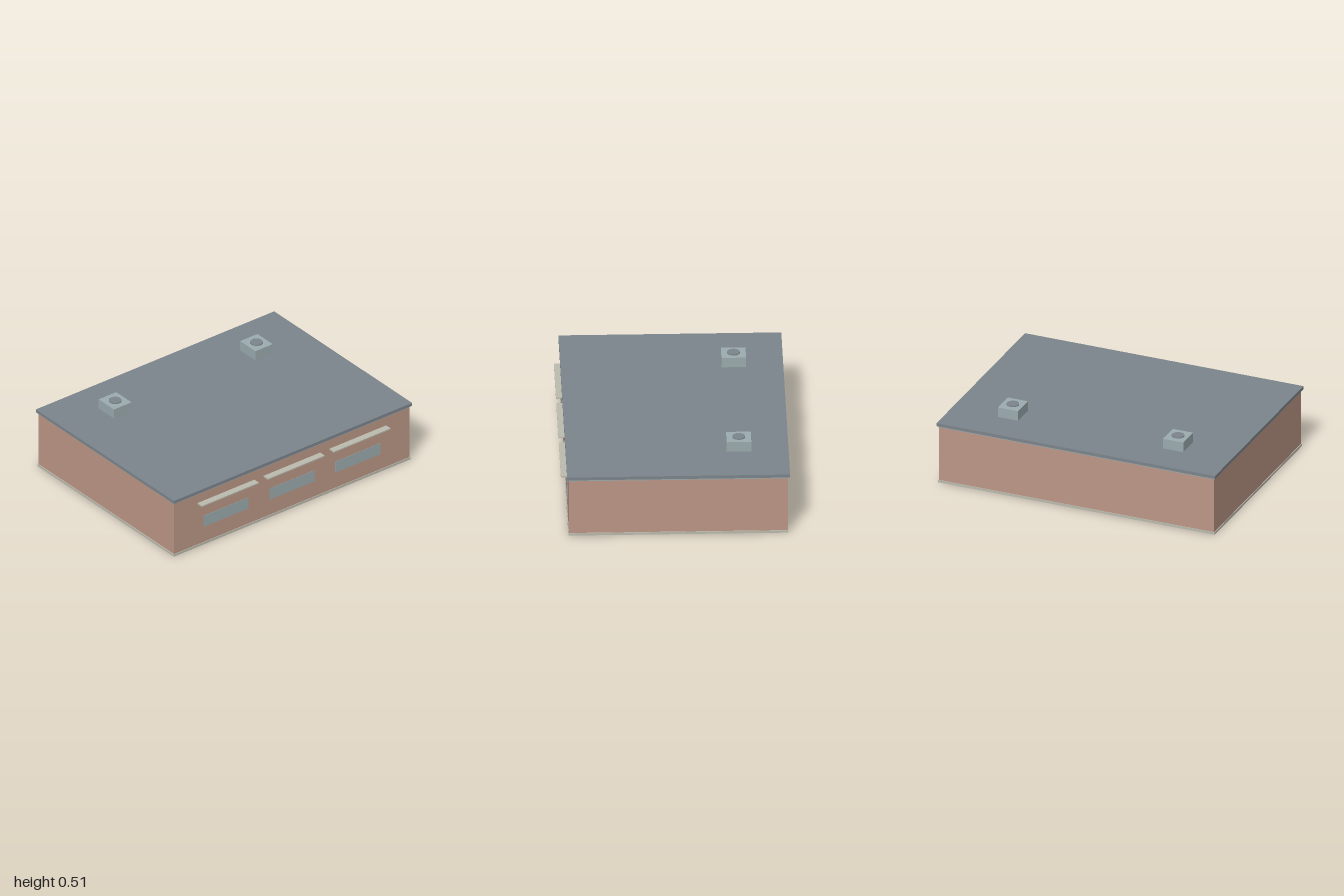
import * as THREE from 'three';

const paint = (name, color) => {
  const m = new THREE.MeshStandardMaterial({ color });
  m.name = name;
  return m;
};

export function createModel() {
  const brick = paint('brick', 0xbb9686);
  const slate = paint('slate', 0x7c858c);
  const stone = paint('stone', 0xbbbaad);
  const paleBlue = paint('pale blue grey', 0x9babae);

  const model = new THREE.Group();
  model.name = 'building';

  // Box given by its minimum and maximum on each axis
  const box = (name, material, [x0, x1], [y0, y1], [z0, z1], parent = model) => {
    const mesh = new THREE.Mesh(new THREE.BoxGeometry(x1 - x0, y1 - y0, z1 - z0), material);
    mesh.position.set((x0 + x1) / 2, (y0 + y1) / 2, (z0 + z1) / 2);
    mesh.name = name;
    parent.add(mesh);
    return mesh;
  };

  // Main block: plinth, walls, eaves trim and flat roof
  box('plinth', stone, [-0.993, 0.993], [0, 0.017], [-0.743, 0.709]);
  box('walls', brick, [-0.988, 0.988], [0.017, 0.404], [-0.739, 0.705]);
  box('eavesTrim', paleBlue, [-0.991, 0.991], [0.404, 0.415], [-0.742, 0.708]);
  box('roof', slate, [-1, 1], [0.415, 0.437], [-0.753, 0.717]);

  // Three front bays, each a window under a canopy
  for (const x of [-0.553, 0, 0.553]) {
    const bay = new THREE.Group();
    bay.name = 'frontBay';
    box('window', paleBlue, [x - 0.189, x + 0.189], [0.134, 0.219], [0.7, 0.707], bay);
    box('canopy', stone, [x - 0.238, x + 0.238], [0.328, 0.337], [0.703, 0.753], bay);
    model.add(bay);
  }

  // Two rooftop vents with round fan covers
  for (const x of [-0.593, 0.593]) {
    const vent = new THREE.Group();
    vent.name = 'roofVent';
    box('ventHousing', paleBlue, [x - 0.073, x + 0.073], [0.437, 0.507], [-0.507, -0.344], vent);
    const fan = new THREE.Mesh(new THREE.CylinderGeometry(0.042, 0.042, 0.007, 24), slate);
    fan.position.set(x, 0.5105, -0.4255);
    fan.name = 'fanCover';
    vent.add(fan);
    model.add(vent);
  }
  return model;
}
